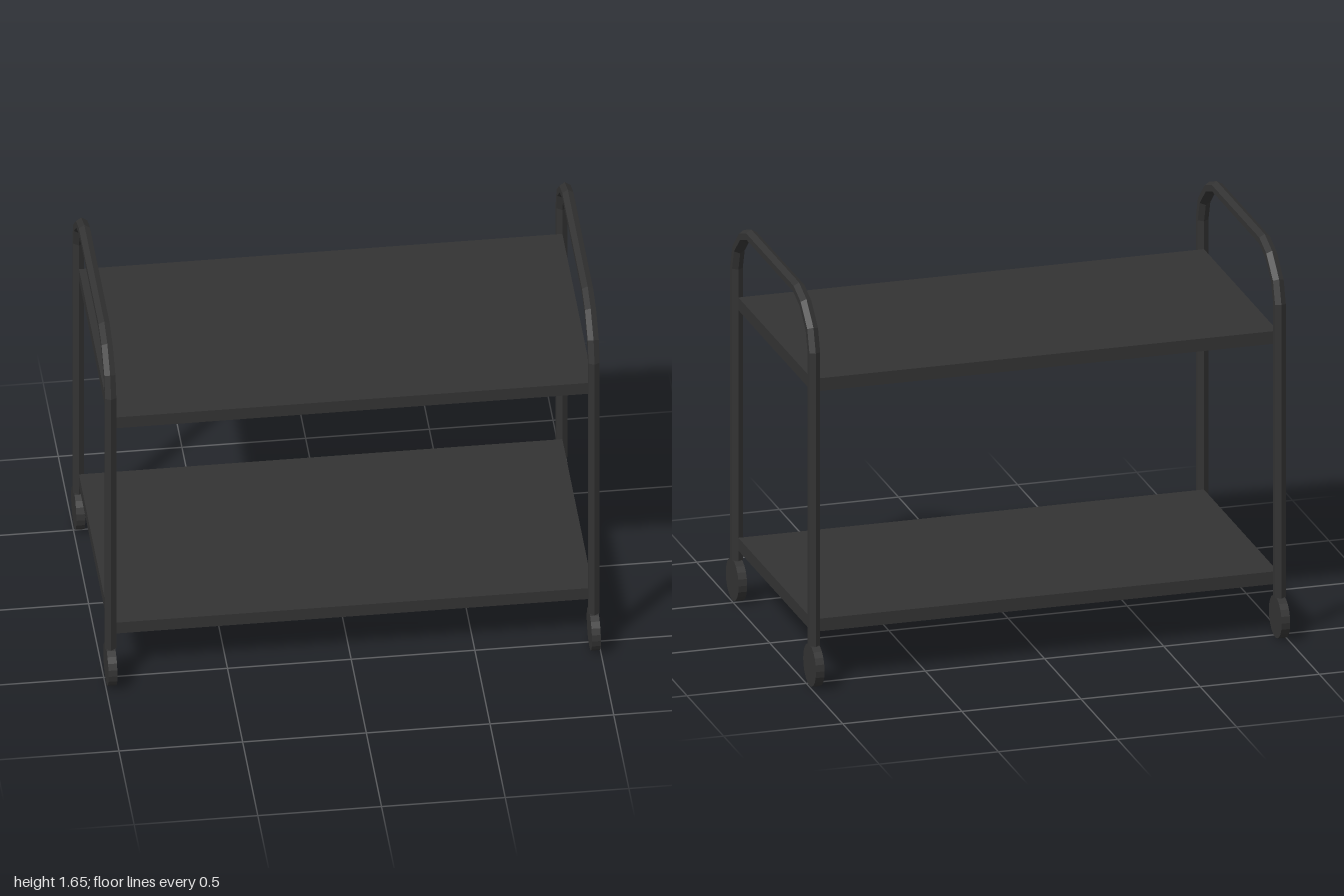
import * as THREE from 'three';

const SIDES = 6;
const TUBE_R = 0.026;
const POST_X = 0.977;
const POST_Z = 0.53;

// Hexagonal tube swept along a path of [z, y] points in the x = 0 plane, mitred at the bends
function sweptTube(path) {
  const pts = path.map(([z, y]) => new THREE.Vector2(z, y));
  const last = pts.length - 1;
  const positions = [];
  const index = [];

  pts.forEach((p, i) => {
    const before = i > 0 ? p.clone().sub(pts[i - 1]).normalize() : null;
    const after = i < last ? pts[i + 1].clone().sub(p).normalize() : null;
    const dir = (before || after).clone().add(after || before).normalize();
    const mitre = 1 / dir.dot(after || before);
    for (let k = 0; k < SIDES; k++) {
      const a = (k / SIDES) * Math.PI * 2;
      const n = Math.cos(a) * TUBE_R * mitre;
      positions.push(Math.sin(a) * TUBE_R, p.y - dir.x * n, p.x + dir.y * n);
    }
  });

  for (let i = 0; i < last; i++) {
    for (let k = 0; k < SIDES; k++) {
      const k2 = (k + 1) % SIDES;
      const a = i * SIDES + k, b = i * SIDES + k2;
      const c = b + SIDES, d = a + SIDES;
      index.push(a, b, c, a, c, d);
    }
  }
  // end caps
  const end = last * SIDES;
  for (let k = 1; k < SIDES - 1; k++) {
    index.push(0, k + 1, k, end, end + k, end + k + 1);
  }

  const geo = new THREE.BufferGeometry();
  geo.setAttribute('position', new THREE.Float32BufferAttribute(positions, 3));
  geo.setIndex(index);
  const flat = geo.toNonIndexed();
  flat.computeVertexNormals();
  return flat;
}

export function createModel() {
  const group = new THREE.Group();
  const material = new THREE.MeshStandardMaterial({ color: 0x333333, flatShading: true });

  const add = (name, geometry, x, y, z) => {
    const mesh = new THREE.Mesh(geometry, material);
    mesh.name = name;
    mesh.position.set(x, y, z);
    group.add(mesh);
  };

  // Side frames: two legs joined by a rounded push handle
  const half = [[POST_Z, 0.172], [POST_Z, 1.42], [0.502, 1.508], [0.415, 1.589], [0.323, 1.622]];
  const mirrored = half.map(([z, y]) => [-z, y]).reverse();
  const frameGeo = sweptTube([...half, ...mirrored]);

  // Wheels: thin discs with the axle along x
  const wheelGeo = new THREE.CylinderGeometry(0.088, 0.088, 0.036, 20);
  wheelGeo.rotateZ(Math.PI / 2);

  for (const [side, sx] of [['left', 1], ['right', -1]]) {
    add(side + 'Frame', frameGeo, sx * POST_X, 0, 0);
    for (const [end, sz] of [['Front', 1], ['Back', -1]]) {
      add(side + end + 'Wheel', wheelGeo, sx * POST_X, 0.088, sz * POST_Z);
    }
  }

  // Shelves
  const shelfGeo = new THREE.BoxGeometry(POST_X * 2, 0.054, 1.01);
  add('lowerShelf', shelfGeo, 0, 0.245, 0);
  add('upperShelf', shelfGeo, 0, 1.27, 0);

  return group;
}
